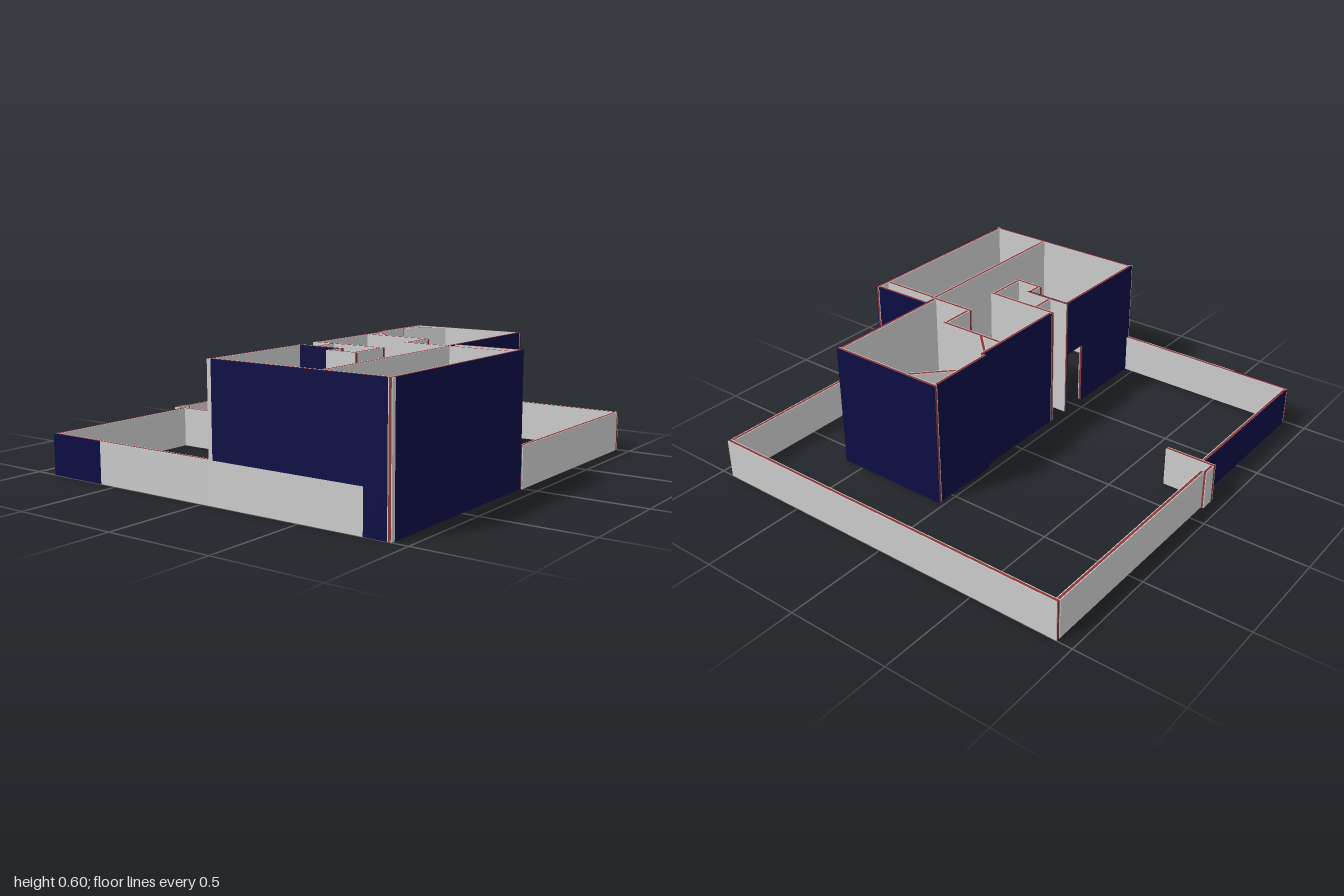
import * as THREE from 'three';

const RED = new THREE.MeshStandardMaterial({ color: 0x8b3636 });
const NAVY = new THREE.MeshStandardMaterial({ color: 0x0d0d44 });
const GREY = new THREE.MeshStandardMaterial({ color: 0xcccccc });

const H = 0.6;    // house wall height
const F = 0.19;   // garden wall height
const T = 0.02;   // wall thickness
const P = 0.004;  // thickness of each facing panel

function box(name, w, h, d, x, y, z, material) {
  const mesh = new THREE.Mesh(new THREE.BoxGeometry(w, h, d), material);
  mesh.name = name;
  mesh.position.set(x, y, z);
  return mesh;
}

// A wall with a brick core and a panel on each side, along its centre line.
// Side a faces +z on walls running along +x, and -x on walls running along +z.
function wall(name, [x1, z1, x2, z2], h, a = GREY, b = GREY, y0 = 0) {
  const g = new THREE.Group();
  g.name = name;
  const len = Math.hypot(x2 - x1, z2 - z1);
  const off = (T - P) / 2;
  g.add(box('core', len, h, T - 2 * P, 0, h / 2, 0, RED));
  if (a) g.add(box('panelA', len, h, P, 0, h / 2, off, a));
  if (b) g.add(box('panelB', len, h, P, 0, h / 2, -off, b));
  g.position.set((x1 + x2) / 2, y0, (z1 + z2) / 2);
  g.rotation.y = -Math.atan2(z2 - z1, x2 - x1);
  return g;
}

export function createModel() {
  const model = new THREE.Group();
  model.name = 'walledHouse';
  const add = (...args) => model.add(wall(...args));

  // Garden walls
  add('gardenBackWall', [-0.925, -0.99, 0.935, -0.99], F);
  add('gardenLeftWall', [0.925, -0.98, 0.925, 0.01], F);
  add('gardenRightWallBack', [-0.917, -0.98, -0.917, 0.1], F);
  add('gatePier', [-0.93, 0.1, -0.93, 0.16], F);
  add('gateReturn', [-0.94, 0.17, -0.695, 0.17], F);
  add('gardenRightWallFront', [-0.88, 0.18, -0.88, 0.98], F, NAVY);
  add('gardenFrontWallDark', [-0.89, 0.99, -0.59, 0.99], F, NAVY);
  add('gardenFrontWallLight', [-0.59, 0.99, 0.045, 0.99], F);

  // House front wall: bare core and inner panel, then outer facing in three pieces
  add('houseFrontWall', [0.065, 0.99, 0.907, 0.99], H, null);
  const faceZ = 0.99 + (T - P) / 2;
  const facing = (name, x1, x2, y1, y2, m) =>
    model.add(box(name, x2 - x1, y2 - y1, P, (x1 + x2) / 2, (y1 + y2) / 2, faceZ, m));
  facing('frontFacingUpper', 0.065, 0.907, F, H, NAVY);
  facing('frontFacingLower', 0.065, 0.8, 0, F, GREY);
  facing('frontFacingCorner', 0.8, 0.907, 0, F, NAVY);

  // Outer house walls
  add('houseLeftWall', [0.917, 0.01, 0.917, 0.98], H, GREY, NAVY);
  add('houseLeftWallEnd', [0.917, 0.98, 0.917, 1], H);
  add('houseBackWall', [0.025, -0.575, 0.605, -0.575], H, GREY, NAVY);
  add('backRoomLeftWall', [0.595, -0.565, 0.595, 0.072], H, GREY, NAVY);
  add('backRoomRightWall', [0.035, -0.565, 0.035, -0.225], H, NAVY);
  add('middleRightWall', [0.055, -0.225, 0.055, 0.29], H, NAVY);
  add('passageBackWall', [0.605, 0.02, 0.907, 0.02], H, GREY, NAVY);

  // Front right wall with a door opening under a lintel
  add('doorLintel', [0.055, 0.43, 0.055, 0.56], H - 0.32, NAVY, GREY, 0.32);
  add('frontRightWall', [0.055, 0.56, 0.055, 0.996], H, NAVY);
  model.add(box('frontRightWallCap', T, H, P, 0.055, H / 2, 0.998, GREY));

  // Inner partitions
  add('passageFrontWall', [0.617, 0.087, 0.907, 0.087], H);
  add('longPartition', [0.607, 0.092, 0.607, 0.98], H);
  add('backPartition', [0.065, -0.09, 0.395, -0.09], H);
  add('stepPartition', [0.385, -0.08, 0.385, 0.072], H);
  add('middlePartition', [0.375, 0.082, 0.617, 0.082], H);
  add('cornerBrace', [0.046, -0.416, 0.193, -0.569], H);
  add('doorBrace', [0.062, -0.2, 0.165, -0.097], H);

  // Porch and small room
  add('closetBackWall', [0.045, 0.3, 0.415, 0.3], H);
  add('closetLeftWall', [0.405, 0.31, 0.405, 0.49], H);
  add('closetFrontWall', [0.265, 0.5, 0.415, 0.5], H);
  add('closetRightWall', [0.277, 0.43, 0.277, 0.49], H);
  add('porchFrontWall', [0.045, 0.42, 0.287, 0.42], H, NAVY);
  add('porchEndWall', [0.15, 0.31, 0.15, 0.41], H);

  return model;
}
